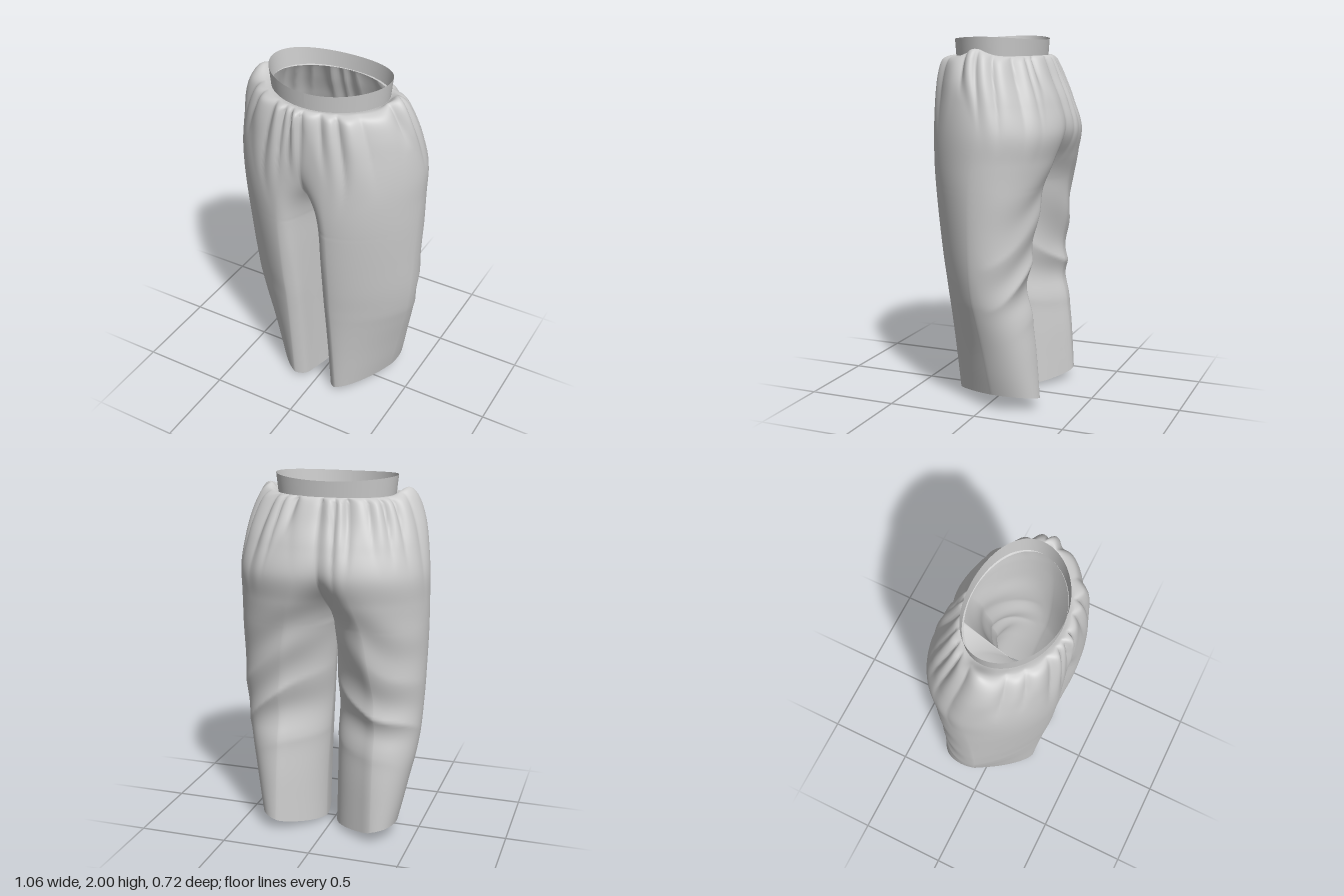
import * as THREE from 'three';
import { mergeVertices } from 'three/addons/utils/BufferGeometryUtils.js';

// Stations from waist to hem: y, inner x, x of the crease line, outer x, front z, back z
const STATIONS = [
  [1.895, -0.325, 0, 0.325, 0.28, -0.19],
  [1.898, -0.37, 0, 0.37, 0.31, -0.21],
  [1.87, -0.43, 0, 0.43, 0.335, -0.23],
  [1.78, -0.44, 0.05, 0.472, 0.345, -0.265],
  [1.65, -0.36, 0.09, 0.505, 0.353, -0.318],
  [1.50, -0.21, 0.13, 0.528, 0.358, -0.355],
  [1.35, -0.055, 0.16, 0.53, 0.358, -0.322],
  [1.20, 0, 0.185, 0.53, 0.35, -0.282],
  [1.00, 0.012, 0.20, 0.525, 0.335, -0.252],
  [0.80, 0.024, 0.21, 0.518, 0.315, -0.232],
  [0.65, 0.034, 0.21, 0.503, 0.297, -0.226],
  [0.50, 0.04, 0.21, 0.478, 0.28, -0.245],
  [0.30, 0.047, 0.21, 0.44, 0.26, -0.268],
  [0.12, 0.05, 0.21, 0.408, 0.243, -0.282],
  [0.00, 0.05, 0.21, 0.385, 0.232, -0.29],
];
const CROTCH = 7; // station where the halves separate into legs
const SUB = 9, AROUND = 128;
const { smoothstep, lerp } = THREE.MathUtils;

const bell = (v, mid, width) => Math.exp(-(((v - mid) / width) ** 2));
const power = (v, p) => Math.sign(v) * Math.abs(v) ** p;

// Catmull-Rom interpolation of a station row
function station(u) {
  const last = STATIONS.length - 1;
  const i = Math.min(Math.floor(u), last - 1), t = u - i;
  const at = (k) => STATIONS[Math.max(0, Math.min(last, k))];
  return at(i).map((p1, c) => {
    const p0 = at(i - 1)[c], p2 = at(i + 1)[c], p3 = at(i + 2)[c];
    return p1 + 0.5 * t * (p2 - p0 + t * (2 * p0 - 5 * p1 + 4 * p2 - p3 + t * (3 * (p1 - p2) + p3 - p0)));
  });
}

// Gathers below the waistband: narrow creases of uneven length
function gathers(angle, y, u) {
  const a = angle + 0.1 * Math.sin(3 * angle + 1) + 0.06 * Math.sin(7 * angle);
  const reach = 1.46 + 0.14 * Math.sin(5 * angle + 0.7) + 0.08 * Math.sin(11 * angle);
  const fade = smoothstep(y, reach, 1.88) * smoothstep(u, 0.1, 2);
  const fine = Math.abs(Math.sin(11 * a)) - 0.6;
  const broad = Math.sin(8 * a + 2) * 0.5 + Math.sin(13 * a) * 0.35;
  return fade * (0.026 * fine + 0.013 * broad);
}

// Slanted folds behind the knee and under the seat
function kneeFolds(x, y, phi) {
  const back = Math.max(0, -Math.sin(phi + 0.2));
  const slant = y * 21 + Math.abs(x) * 14 + 1.2 * Math.sin(x * 9 + y * 4);
  const knee = bell(y, 0.72, 0.18) * 0.015 * (1 - 2 * Math.abs(Math.sin(slant * 0.5)));
  const thigh = bell(y, 1.1, 0.2) * 0.008 * Math.sin(slant * 0.8 + 1);
  return back * (knee + thigh);
}

// Both halves share the centre seam and part into two legs below it
function trouserGeometry() {
  const positions = [], index = [];
  const rows = (STATIONS.length - 1) * SUB;
  for (const side of [1, -1]) {
    const base = positions.length / 3;
    for (let i = 0; i <= rows; i++) {
      const u = i / SUB, joined = u < CROTCH;
      let [y, inner, crease, outer, front, back] = station(u);
      inner = joined ? Math.min(0, inner) : Math.max(0, inner) * (side > 0 ? 1 : 0.4);
      if (side < 0) outer += 0.018 * smoothstep(-y, -0.8, -0.4);
      const cz = (front + back) / 2, b = (front - back) / 2;
      // legs turn from oval to slanted: flatter at the front outside and the inside
      const leg = smoothstep(u, 4, 10);
      const skew = leg * (side > 0 ? 0.062 : 0.078);
      const sharpInner = lerp(1, 1.3, leg);
      const sharpFront = lerp(1.05, side > 0 ? 1.22 : 1.34, leg);
      const outerRadius = Math.sqrt((outer - crease) ** 2 - skew ** 2);
      const reach = Math.min(1, Math.max(0, crease) / (crease - inner));
      const open = joined ? Math.acos(-(reach ** (1 / sharpInner))) : Math.PI;
      for (let j = 0; j <= AROUND; j++) {
        const phi = open * (1 - (2 * j) / AROUND);
        const c = Math.cos(phi), s = Math.sin(phi);
        const sharp = c < 0 ? sharpInner : s > 0 ? sharpFront : 1.05;
        let x = crease + (c > 0 ? outerRadius : crease - inner) * power(c, sharp);
        let z = cz + b * power(s, sharp);
        const push = gathers(Math.atan2(z - cz, side * x), y, u) + kneeFolds(side * x, y, phi);
        x += push * c * (joined ? smoothstep(x, 0, 0.1) : 1) - skew * s * smoothstep(x, 0, 0.16);
        z += push * s - 0.02 * Math.max(0, c) ** 2;
        if (joined) x = j % AROUND === 0 ? 0 : Math.max(0, x);
        // hem rises to the outside and back, a gather puffs up at each hip
        const hem = Math.max(0, 1 - y / 0.6) * (0.043 + 0.04 * c - 0.02 * s);
        const puff = 0.045 * bell(u, 1.3, 0.7) * bell(phi, 0, 0.3);
        positions.push(side * x, y + hem + puff, z);
      }
    }
    for (let i = 0; i < rows; i++) {
      for (let j = 0; j < AROUND; j++) {
        const p = base + i * (AROUND + 1) + j, q = p + AROUND + 1;
        if (side > 0) index.push(p, q, p + 1, p + 1, q, q + 1);
        else index.push(p, p + 1, q, p + 1, q + 1, q);
      }
    }
  }
  let geometry = new THREE.BufferGeometry();
  geometry.setAttribute('position', new THREE.Float32BufferAttribute(positions, 3));
  geometry.setIndex(index);
  geometry = mergeVertices(geometry, 1e-5);
  geometry.computeVertexNormals();
  return geometry;
}

// Open oval band, its upper edge dipping at front and back
function waistbandGeometry() {
  const geometry = new THREE.CylinderGeometry(1, 1, 1, 96, 4, true);
  const pos = geometry.attributes.position;
  for (let i = 0; i < pos.count; i++) {
    const x = pos.getX(i), z = pos.getZ(i), t = pos.getY(i) + 0.5;
    const top = 1.982 + 0.018 * x * x;
    const depth = 0.043 - 0.025 * x * x + z * (0.237 + 0.006 * t);
    pos.setXYZ(i, x * (0.325 + 0.012 * t), lerp(1.893, top, t), depth);
  }
  geometry.computeVertexNormals();
  return geometry;
}

export function createModel() {
  const group = new THREE.Group();
  group.name = 'trousers';
  const cloth = new THREE.MeshStandardMaterial({ color: 0xcccccc, side: THREE.DoubleSide });
  const add = (name, geometry) => {
    const mesh = new THREE.Mesh(geometry, cloth);
    mesh.name = name;
    group.add(mesh);
  };
  add('seatAndLegs', trouserGeometry());
  add('waistband', waistbandGeometry());
  return group;
}
